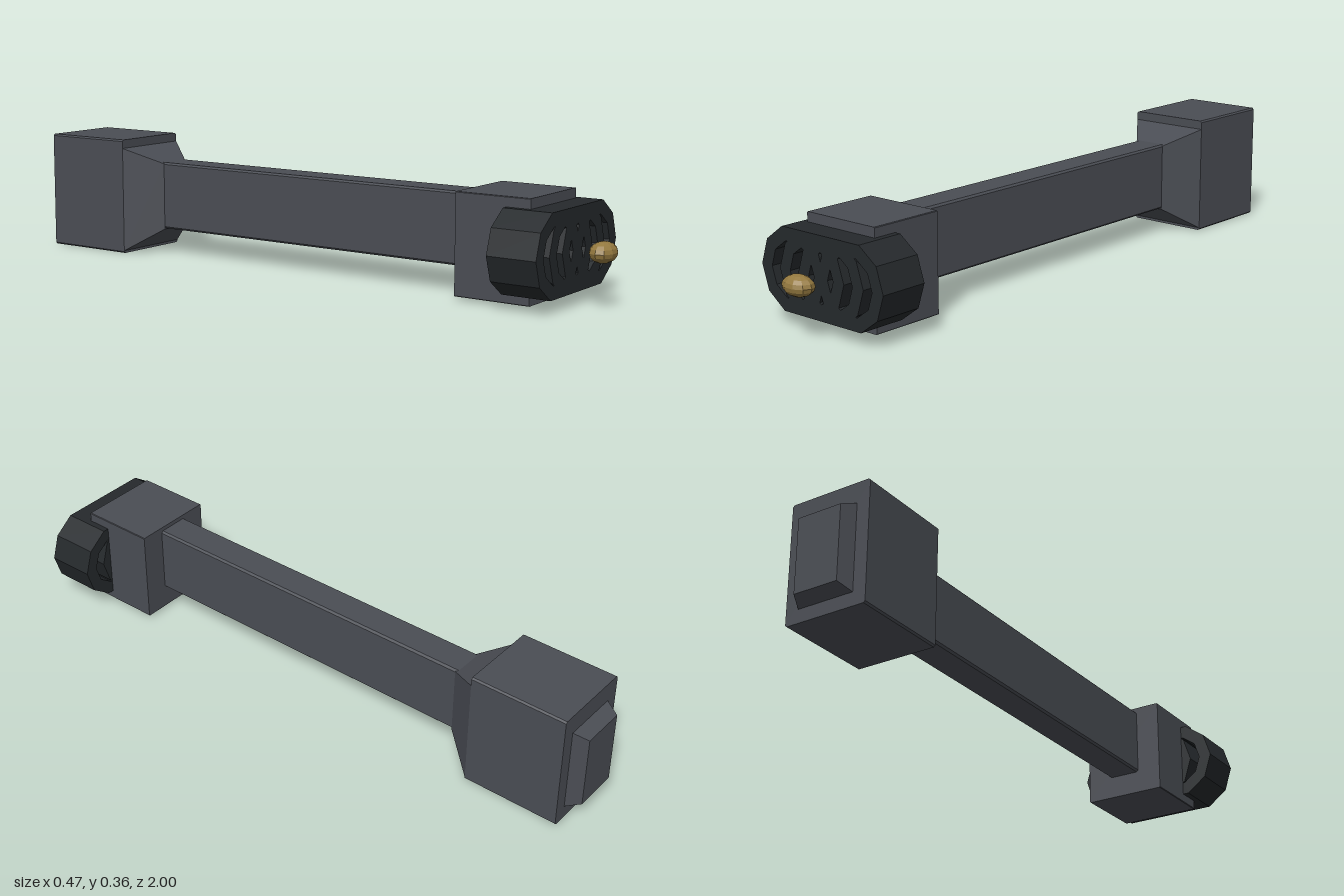
import * as THREE from 'three';

const mat = (color) => new THREE.MeshStandardMaterial({ color, flatShading: true });
const grey = mat(0x4a4d54), black = mat(0x25292c), gold = mat(0x94793f);

export function createModel() {
  const model = new THREE.Group();
  const add = (name, geometry, material, x = 0, y = 0, z = 0) => {
    const mesh = new THREE.Mesh(geometry, material);
    mesh.name = name;
    mesh.position.set(x, y, z);
    model.add(mesh);
    return mesh;
  };

  // Bar along z with slightly chamfered long edges
  const bar = (name, w, y0, y1, z0, z1, c) => {
    const points = [[-w + c, y0], [w - c, y0], [w, y0 + c], [w, y1 - c],
      [w - c, y1], [-w + c, y1], [-w, y1 - c], [-w, y0 + c]];
    const shape = new THREE.Shape(points.map(([x, y]) => new THREE.Vector2(x, y)));
    add(name, new THREE.ExtrudeGeometry(shape, { depth: z1 - z0, bevelEnabled: false }), grey, 0, 0, z0);
  };

  // Box whose back (z0) and front (z1) rectangles differ: [half width, bottom, top]
  const taper = (name, z0, back, z1, front) => {
    const g = new THREE.BoxGeometry(2, 1, 1);
    const p = g.attributes.position;
    for (let i = 0; i < p.count; i++) {
      const [w, lo, hi] = p.getZ(i) > 0 ? front : back;
      p.setXYZ(i, p.getX(i) * w, p.getY(i) > 0 ? hi : lo, p.getZ(i) > 0 ? z1 : z0);
    }
    g.computeVertexNormals();
    add(name, g, grey);
  };

  // Body
  bar('shaft', 0.052, 0.08, 0.292, -0.56, 0.6, 0.006);
  bar('frontBlock', 0.13, 0.01, 0.305, 0.575, 0.81, 0.002);
  bar('rearBlock', 0.13, 0, 0.364, -0.957, -0.655, 0.005);
  taper('rearTaper', -0.655, [0.13, 0.008, 0.337], -0.55, [0.052, 0.078, 0.288]);
  taper('rearCap', -1, [0.07, 0.06, 0.285], -0.955, [0.09, 0.04, 0.303]);

  // Row of overlapping ten-sided emitter rings with gold discs inside
  const polygon = (Type, r) => new Type(Array.from({ length: 10 }, (_, i) =>
    new THREE.Vector2(r * Math.cos(i * Math.PI / 5), r * Math.sin(i * Math.PI / 5))));
  const ring = polygon(THREE.Shape, 0.125);
  ring.holes.push(polygon(THREE.Path, 0.084));
  const ringGeometry = new THREE.ExtrudeGeometry(ring, { depth: 0.15, bevelEnabled: false });
  const discGeometry = new THREE.CircleGeometry(0.073, 8);
  for (let i = 0; i < 4; i++) {
    const x = (i - 1.5) * 0.0733;
    add('emitterRing' + (i + 1), ringGeometry, black, x, 0.157, 0.735);
    add('emitterDisc' + (i + 1), discGeometry, gold, x, 0.157, 0.815);
  }

  // Floating bead ahead of the rings
  add('bead', new THREE.SphereGeometry(1, 10, 8), gold, 0, 0.157, 0.963).scale.set(0.052, 0.03, 0.037);

  return model;
}
